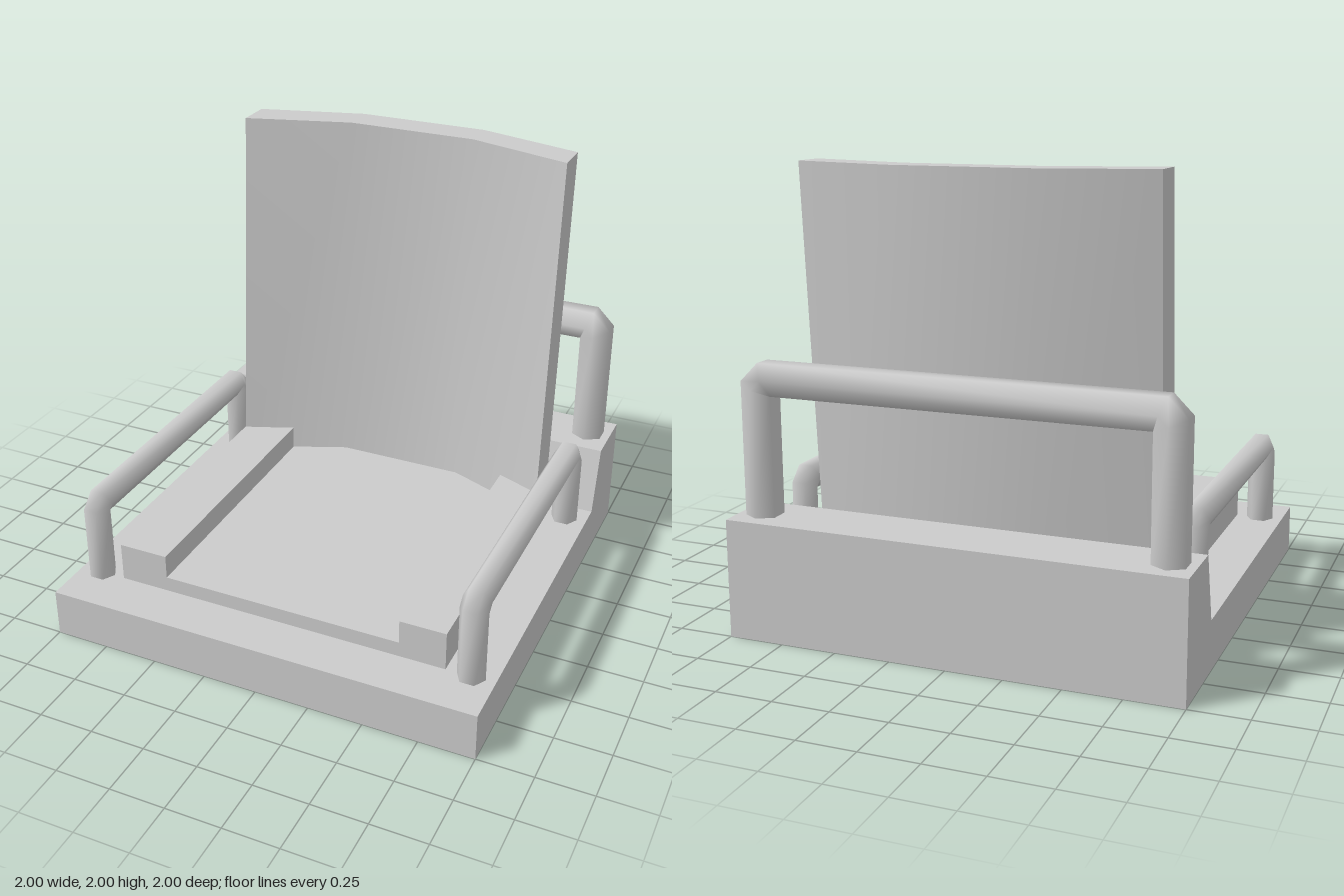
import * as THREE from 'three';
import { toCreasedNormals } from 'three/addons/utils/BufferGeometryUtils.js';

const material = new THREE.MeshStandardMaterial({ color: 0xcccccc, side: THREE.DoubleSide });

function part(name, geometry) {
  const mesh = new THREE.Mesh(geometry, material);
  mesh.name = name;
  return mesh;
}

function extrude(points, depth) {
  const shape = new THREE.Shape(points.map(([x, y]) => new THREE.Vector2(x, y)));
  return new THREE.ExtrudeGeometry(shape, { depth, bevelEnabled: false });
}

// Hexagonal U-shaped rail in the xy plane: two legs and a top bar with cut corners
function railGeometry(halfSpan, bottom, top, radius) {
  const c = radius * 0.52;
  const path = [
    [-halfSpan, bottom], [-halfSpan, top - c], [-halfSpan + c, top],
    [halfSpan - c, top], [halfSpan, top - c], [halfSpan, bottom],
  ].map(([x, y]) => new THREE.Vector2(x, y));
  const positions = [], index = [];
  path.forEach((p, i) => {
    const before = p.clone().sub(path[Math.max(i - 1, 0)]).normalize();
    const after = path[Math.min(i + 1, path.length - 1)].clone().sub(p).normalize();
    const tangent = before.clone().add(after).normalize();
    const normal = new THREE.Vector2(-tangent.y, tangent.x);
    // Mitre so every straight run keeps its full thickness
    const mitre = 1 / Math.max(tangent.dot(after), tangent.dot(before));
    for (let k = 0; k < 6; k++) {
      const a = (k * Math.PI) / 3;
      const out = Math.sin(a) * radius * mitre;
      positions.push(p.x + normal.x * out, p.y + normal.y * out, Math.cos(a) * radius);
      if (i < path.length - 1) {
        const p0 = i * 6 + k, p1 = i * 6 + ((k + 1) % 6);
        index.push(p0, p0 + 6, p1, p1, p0 + 6, p1 + 6);
      }
    }
  });
  const geometry = new THREE.BufferGeometry();
  geometry.setAttribute('position', new THREE.Float32BufferAttribute(positions, 3));
  geometry.setIndex(index);
  geometry.computeVertexNormals();
  return geometry;
}

// Box split in three across, wrapped forward at the sides and leaning back
function backrestGeometry() {
  const geometry = new THREE.BoxGeometry(1.56, 1, 1, 3, 1, 1);
  const pos = geometry.attributes.position;
  const { lerp } = THREE.MathUtils;
  for (let i = 0; i < pos.count; i++) {
    const x = pos.getX(i), t = pos.getY(i) + 0.5;
    const side = Math.abs(x) > 0.5;
    const front = side ? lerp(-0.39, -0.52, t) : lerp(-0.59, -0.66, t);
    const back = side ? lerp(-0.56, -0.68, t) : lerp(-0.68, -0.81, t);
    pos.setXYZ(i, side ? x : Math.sign(x) * 0.3, lerp(0.22, 2, t), pos.getZ(i) > 0 ? front : back);
  }
  return toCreasedNormals(geometry, Math.PI / 5);
}

export function createModel() {
  const model = new THREE.Group();
  model.name = 'seat';

  // Base slab with a raised rear ledge, profile given as (z, y)
  const base = extrude([[1, 0], [1, 0.22], [-0.63, 0.22], [-0.71, 0.52], [-1, 0.52], [-1, 0]], 2);
  base.rotateY(-Math.PI / 2).translate(1, 0, 0);
  model.add(part('base', base));

  // Cushion with raised side bolsters
  const cushion = extrude([
    [-0.78, 0.21], [0.78, 0.21], [0.78, 0.4], [0.57, 0.4],
    [0.57, 0.29], [-0.55, 0.29], [-0.55, 0.4], [-0.78, 0.4],
  ], 1.41);
  cushion.translate(0, 0, -0.63);
  model.add(part('cushion', cushion));

  model.add(part('backrest', backrestGeometry()));

  // Side rails
  for (const [name, side] of [['leftArmRail', 1], ['rightArmRail', -1]]) {
    const rail = part(name, railGeometry(0.652, 0.2, 0.588, 0.063));
    rail.rotation.y = Math.PI / 2;
    rail.position.set(side * 0.892, 0, 0.125);
    model.add(rail);
  }

  // Taller rail behind the backrest
  const rearRail = part('rearRail', railGeometry(0.892, 0.5, 1.112, 0.08));
  rearRail.position.z = -0.862;
  model.add(rearRail);

  return model;
}
